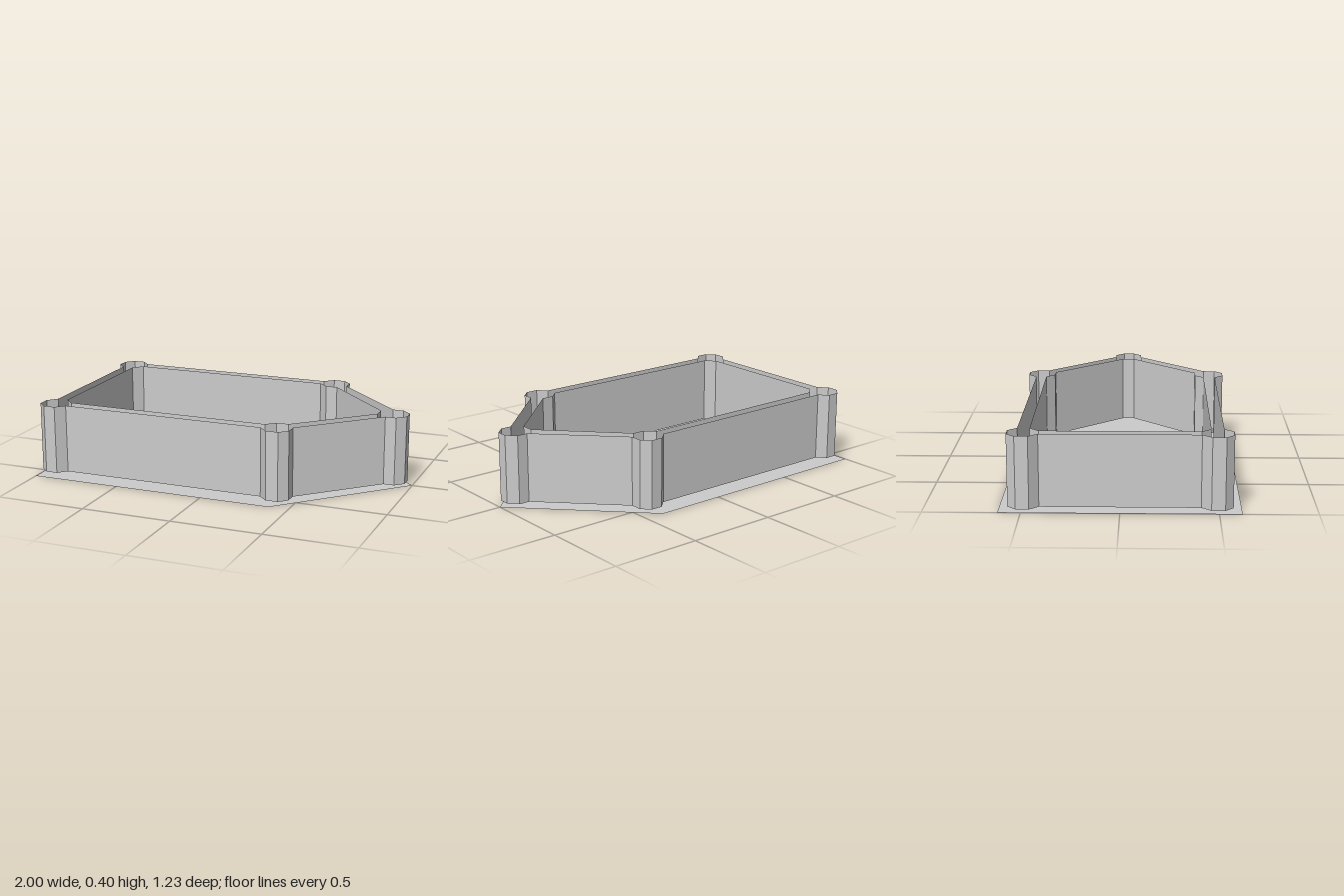
import * as THREE from 'three';

const BOTTOM = 0.018, TOP = 0.4;

// Plan outlines as [x, z], with a chamfered post at each corner
const OUTER = [
  [-0.955, 0.41], [-1, 0.46], [-1, 0.53], [-0.955, 0.573], [-0.89, 0.573], [-0.845, 0.525],
  [0.31, 0.525], [0.357, 0.573], [0.425, 0.573], [0.47, 0.53], [0.47, 0.465],
  [0.86, 0.086], [0.92, 0.086], [0.967, 0.04], [0.967, -0.02], [0.92, -0.068], [0.86, -0.068],
  [0.47, -0.46], [0.47, -0.525], [0.425, -0.57], [0.36, -0.57], [0.31, -0.523],
  [-0.845, -0.523], [-0.89, -0.57], [-0.955, -0.57], [-1, -0.525], [-1, -0.457], [-0.955, -0.41],
];
const INNER = [
  [-0.895, -0.41], [-0.845, -0.46], [0.31, -0.465], [0.36, -0.417], [0.425, -0.417],
  [0.805, -0.025], [0.805, 0.045], [0.425, 0.412], [0.357, 0.412], [0.31, 0.46],
  [-0.845, 0.46], [-0.895, 0.41],
];
const BASE = [[-1, 0.617], [0.39, 0.617], [1, 0], [0.39, -0.617], [-1, -0.617]];

const material = new THREE.MeshStandardMaterial({
  color: 0xcccccc, flatShading: true, side: THREE.DoubleSide,
});

// Upright sheet that follows a closed outline
function sheet(outline) {
  const pos = [];
  outline.forEach(([x, z], i) => {
    const [u, w] = outline[(i + 1) % outline.length];
    pos.push(x, BOTTOM, z, u, BOTTOM, w, u, TOP, w);
    pos.push(x, BOTTOM, z, u, TOP, w, x, TOP, z);
  });
  const geo = new THREE.BufferGeometry();
  geo.setAttribute('position', new THREE.Float32BufferAttribute(pos, 3));
  geo.computeVertexNormals();
  return geo;
}

// Flat horizontal plate, facing down
function plate(outline, y, hole) {
  const toPoints = (list) => list.map(([x, z]) => new THREE.Vector2(x, z));
  const shape = new THREE.Shape(toPoints(outline));
  if (hole) shape.holes.push(new THREE.Path(toPoints(hole)));
  return new THREE.ShapeGeometry(shape).rotateX(Math.PI / 2).translate(0, y, 0);
}

export function createModel() {
  const group = new THREE.Group();
  const add = (name, geometry) => {
    const mesh = new THREE.Mesh(geometry, material);
    mesh.name = name;
    group.add(mesh);
  };

  // Thin ground plate with a pointed end
  add('basePlate', plate(BASE, 0));

  // Hollow wall, open at the top, swelling into posts at the corners
  add('outerWall', sheet(OUTER));
  add('innerWall', sheet(INNER));
  add('wallBottom', plate(OUTER, BOTTOM, INNER));

  return group;
}
